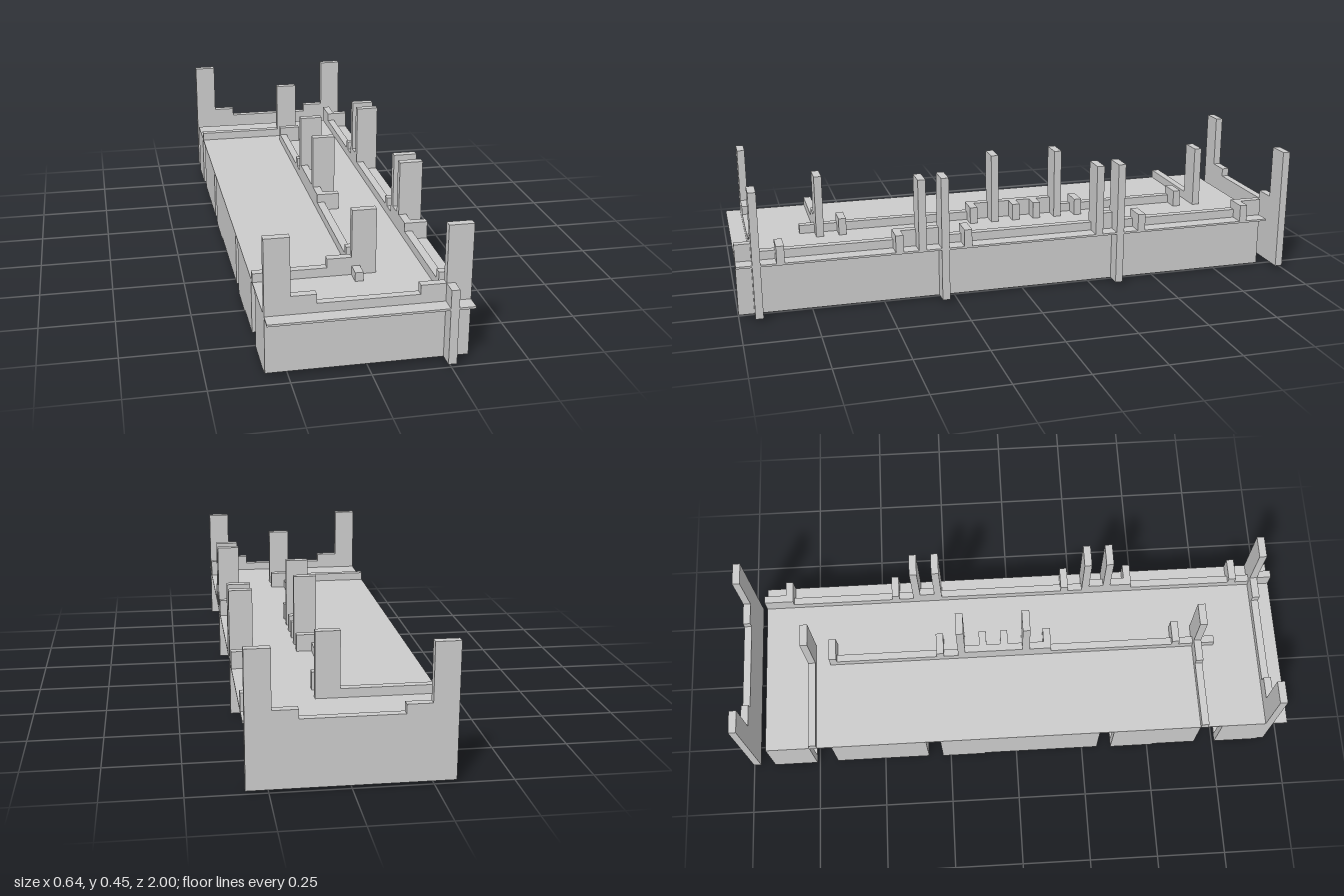
import * as THREE from 'three';

const T = 0.027;      // board thickness
const FLOOR = 0.01;   // underside of the walls
const DECK = 0.2;     // top of the deck
const LOW = 0.23, HIGH = 0.26, POST = 0.45;

export function createModel() {
  const model = new THREE.Group();
  const material = new THREE.MeshStandardMaterial({ color: 0xcccccc, flatShading: true });

  // box given by its limits on each axis
  function block(name, x0, x1, y0, y1, z0, z1) {
    const mesh = new THREE.Mesh(new THREE.BoxGeometry(x1 - x0, y1 - y0, z1 - z0), material);
    mesh.position.set((x0 + x1) / 2, (y0 + y1) / 2, (z0 + z1) / 2);
    mesh.name = name;
    model.add(mesh);
  }

  // upright board with a stepped top; steps are [start, end, height]
  function board(name, bottom, steps) {
    const shape = new THREE.Shape();
    shape.moveTo(steps[0][0], bottom);
    for (const [a, b, h] of steps) {
      shape.lineTo(a, h);
      shape.lineTo(b, h);
    }
    shape.lineTo(steps[steps.length - 1][1], bottom);
    shape.closePath();
    const geometry = new THREE.ExtrudeGeometry(shape, { depth: T, bevelEnabled: false });
    const mesh = new THREE.Mesh(geometry, material);
    mesh.name = name;
    model.add(mesh);
    return mesh;
  }
  const boardAcross = (name, z, bottom, steps) => {
    board(name, bottom, steps).position.z = z;
  };
  // profile runs along z: shape x = -z
  const boardAlong = (name, x, bottom, steps) => {
    const flipped = steps.map(([a, b, h]) => [-b, -a, h]).reverse();
    const mesh = board(name, bottom, flipped);
    mesh.rotation.y = Math.PI / 2;
    mesh.position.x = x;
  };

  // deck
  block('deck', -0.32, 0.32, 0.193, DECK, -0.92, 1);

  // end walls with corner posts
  const endSteps = [[-0.32, -0.24, POST], [-0.24, -0.16, HIGH], [-0.16, 0.16, LOW],
    [0.16, 0.24, HIGH], [0.24, 0.32, POST]];
  boardAcross('frontWall', 0.92, FLOOR, endSteps);
  boardAcross('backWall', -1, FLOOR, endSteps);

  // bulkheads under the deck
  for (const z of [0.28, -0.36]) block('bulkhead', -0.32, 0.32, FLOOR, 0.193, z, z + T);

  // long side wall with stepped railing
  boardAlong('sideWall', 0.24, FLOOR, [[-0.92, -0.813, HIGH], [-0.813, -0.36, LOW],
    [-0.36, -0.253, HIGH], [-0.253, 0.28, LOW], [0.28, 0.467, HIGH],
    [0.467, 0.92, LOW], [0.92, 1, HIGH]]);

  // opposite side: panels with door gaps
  for (const [a, b] of [[-0.92, -0.76], [-0.68, -0.36], [-0.28, 0.28], [0.36, 0.68], [0.76, 0.92]])
    block('sidePanel', -0.32, -0.32 + T, FLOOR, 0.193, a, b);

  // short ribs and posts along the side wall
  for (const z of [-0.84, -0.44, 0.2, 0.44, 0.84]) block('sideRib', 0.24, 0.32, DECK, HIGH, z, z + T);
  for (const z of [-0.36, -0.28, 0.28, 0.36]) block('sidePost', 0.24, 0.32, DECK, POST, z, z + T);

  // central spine wall
  boardAlong('spineWall', 0, DECK, [[-0.68, -0.2, LOW], [-0.2, 0.147, HIGH], [0.147, 0.76, LOW]]);
  for (const z of [-0.68, -0.28, -0.12, -0.04, 0.12, 0.6]) block('spineRib', 0, 0.08, DECK, HIGH, z, z + T);
  for (const z of [-0.2, 0.04]) block('spinePost', 0, 0.08, DECK, POST, z, z + T);

  // cross walls from the spine to the panel side
  boardAcross('frontCrossWall', 0.68, DECK, [[-0.32, -0.08, LOW], [-0.08, 0, HIGH], [0, 0.08, 0.42]]);
  boardAcross('backCrossWall', -0.76, DECK, [[-0.32, 0, LOW], [0, 0.08, 0.42]]);

  // thin foot pads: [x start, z starts]
  const pads = [
    [-0.32, [0.76, 0.36, -0.28, -0.92]],
    [-0.08, [0.76, 0.36]],
    [0.08, [0.12, -0.28, -0.52, -0.92]],
    [-0.16, [0.12, -0.52, -0.92]],
  ];
  for (const [x, starts] of pads)
    for (const z of starts) block('footPad', x, x + 0.08, 0, FLOOR, z, z + 0.16);

  return model;
}
